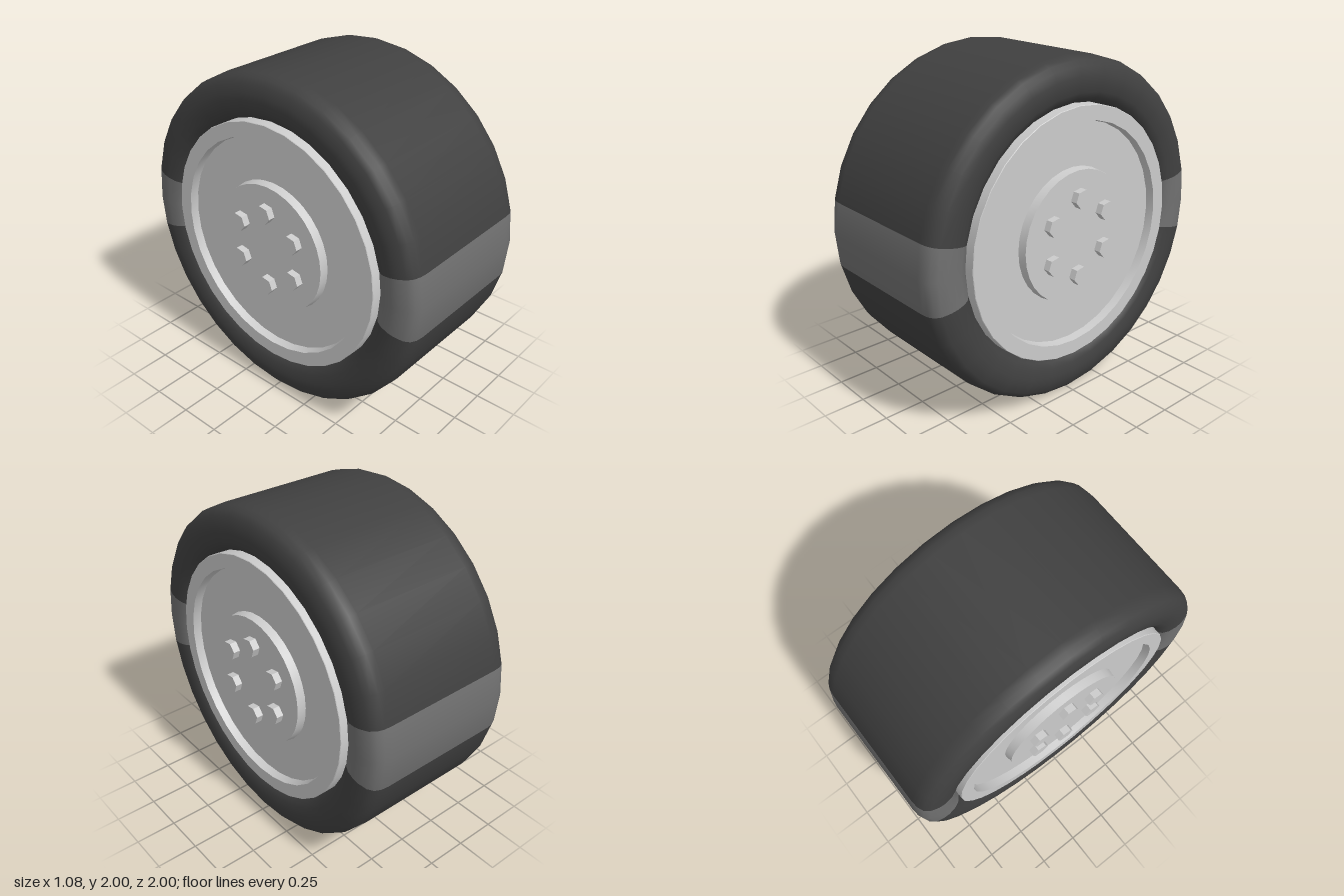
import * as THREE from 'three';
import { toCreasedNormals } from 'three/addons/utils/BufferGeometryUtils.js';

const SEGMENTS = 32;
const STEP = (Math.PI * 2) / SEGMENTS;

// Takes half a profile as [radius, x] from the middle outwards, mirrors it,
// and returns the whole profile running from -x to +x.
function mirroredProfile(half) {
  const left = half.map(([r, x]) => new THREE.Vector2(r, -x)).reverse();
  const right = half.map(([r, x]) => new THREE.Vector2(r, x));
  return [...left, ...right];
}

// Turns a profile around the wheel axle (the x axis); angle 0 is the front.
function turn(profile, firstStep = 0, steps = SEGMENTS) {
  return new THREE.LatheGeometry(profile, steps, firstStep * STEP, steps * STEP)
    .rotateZ(-Math.PI / 2);
}

export function createModel() {
  const wheel = new THREE.Group();
  wheel.name = 'wheel';
  wheel.position.y = 1;

  const rubber = new THREE.MeshStandardMaterial({ color: 0x404040 });
  const stripe = new THREE.MeshStandardMaterial({ color: 0x707070 });
  const metal = new THREE.MeshStandardMaterial({ color: 0xcccccc });
  const boltMetal = new THREE.MeshStandardMaterial({ color: 0xcccccc, flatShading: true });

  const add = (name, geometry, material, parent = wheel) => {
    const mesh = new THREE.Mesh(geometry, material);
    mesh.name = name;
    parent.add(mesh);
    return mesh;
  };

  // Tyre: rounded tread and sidewalls, in dark arcs broken by two lighter bands
  const tyreProfile = mirroredProfile([
    [1, 0.38], [0.995, 0.425], [0.98, 0.46], [0.95, 0.485], [0.9, 0.498],
    [0.86, 0.5], [0.81, 0.492], [0.775, 0.475], [0.75, 0.445], [0.742, 0.41],
  ]);
  for (const [end, start] of [['front', -1], ['back', SEGMENTS / 2 - 1]]) {
    add(`${end}Band`, turn(tyreProfile, start, 2), stripe);
    add(`${end}TyreArc`, turn(tyreProfile, start + 2, SEGMENTS / 2 - 2), rubber);
  }

  // Rim: drum, raised outer ring, recessed disc and raised hub on both sides
  const rimProfile = mirroredProfile([
    [0.745, 0.4], [0.745, 0.497], [0.742, 0.5], [0.657, 0.5], [0.65, 0.45],
    [0.395, 0.45], [0.388, 0.5], [0, 0.5],
  ]);
  add('rim', toCreasedNormals(turn(rimProfile), Math.PI / 6), metal);

  // Six hexagonal bolts on each hub
  const boltShape = new THREE.CylinderGeometry(0.056, 0.056, 0.05, 6).rotateZ(-Math.PI / 2);
  for (const side of [-1, 1]) {
    const bolts = new THREE.Group();
    bolts.name = side > 0 ? 'leftBolts' : 'rightBolts';
    wheel.add(bolts);
    for (let i = 0; i < 6; i++) {
      const angle = (i * Math.PI) / 3;
      const bolt = add('bolt', boltShape, boltMetal, bolts);
      bolt.position.set(side * 0.517, Math.cos(angle) * 0.23, Math.sin(angle) * 0.23);
      bolt.rotation.x = 0.17;
    }
  }

  const model = new THREE.Group();
  model.name = 'wheelModel';
  model.add(wheel);
  return model;
}
